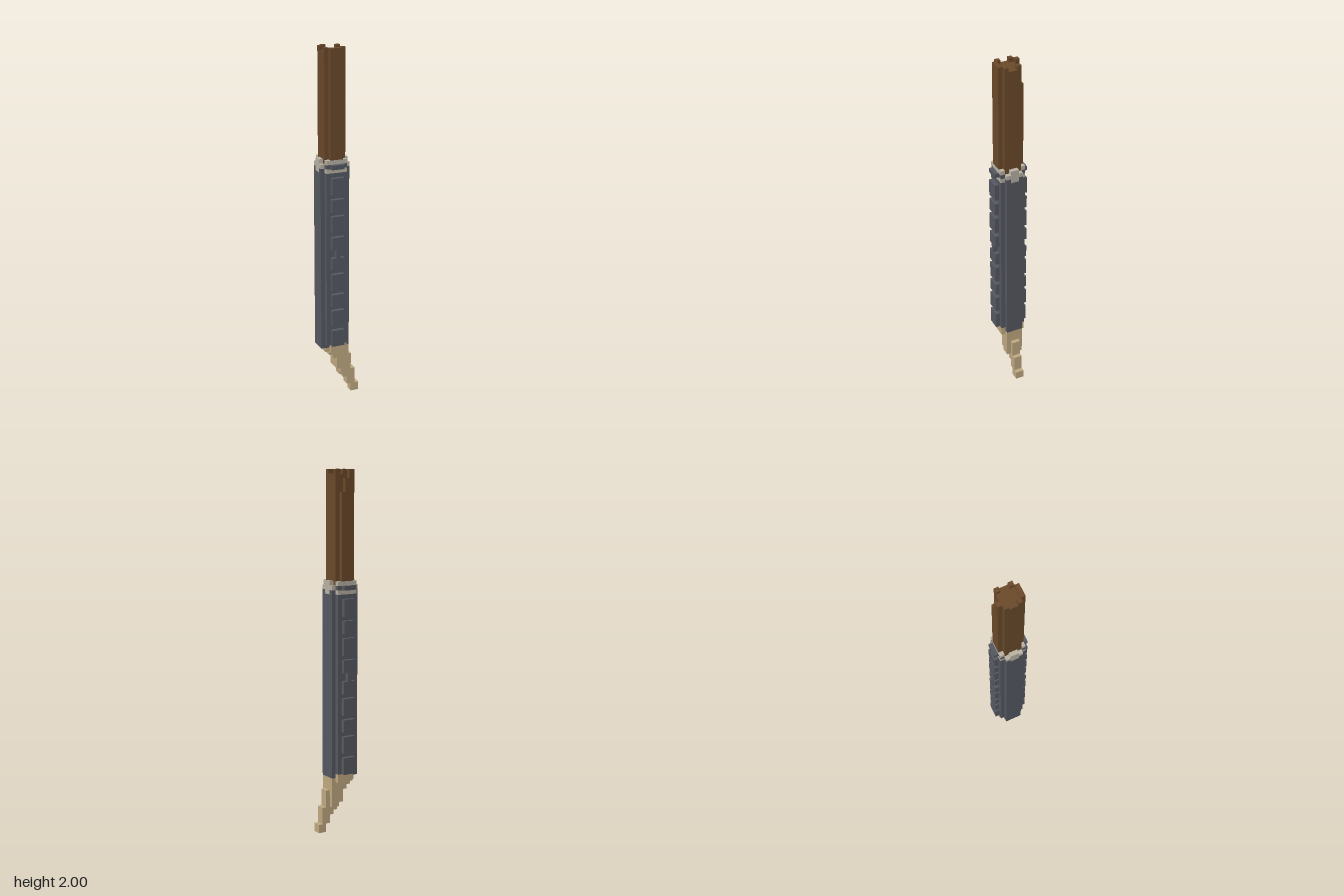
import * as THREE from 'three';

const U = 2 / 84; // one block of the grid

const mat = (name, color) => {
  const m = new THREE.MeshStandardMaterial({ color });
  m.name = name;
  return m;
};

export function createModel() {
  const model = new THREE.Group();
  const brown = mat('brown wood', 0x6b4a2b);
  const slate = mat('slate grey', 0x565962);
  const pale = mat('pale stone', 0xbab3a5);
  const tan = mat('tan bone', 0xc0aa82);

  const part = (name) => {
    const g = new THREE.Group();
    g.name = name;
    model.add(g);
    return g;
  };
  // Box between two grid corners
  const block = (group, name, material, x0, x1, y0, y1, z0, z1) => {
    const geo = new THREE.BoxGeometry((x1 - x0) * U, (y1 - y0) * U, (z1 - z0) * U);
    const mesh = new THREE.Mesh(geo, material);
    mesh.position.set((x0 + x1) / 2 * U, (y0 + y1) / 2 * U, (z0 + z1) / 2 * U);
    mesh.name = name;
    group.add(mesh);
  };
  // The same box on the front and the back
  const pair = (group, name, material, x0, x1, y0, y1, z0, z1) => {
    block(group, name, material, x0, x1, y0, y1, z0, z1);
    block(group, name, material, x0, x1, y0, y1, -z1, -z0);
  };

  // Wooden shaft with a cross-shaped section and a broken rim
  const shaft = part('shaft');
  block(shaft, 'shaftCore', brown, -4, 1, 56, 83, -2, 2);
  block(shaft, 'shaftFront', brown, -3, 0, 56, 84, 2, 3);
  [84, 82, 79].forEach((top, i) =>
    block(shaft, 'shaftBack', brown, i - 3, i - 2, 56, top, -3, -2));
  pair(shaft, 'rimTooth', brown, -4, -3, 83, 84, 1, 2);
  pair(shaft, 'rimTooth', brown, 0, 1, 83, 84, 1, 2);

  // Grey casing
  const casing = part('casing');
  block(casing, 'casingSides', slate, -5, 2, 13, 56, -2, 2);
  pair(casing, 'casingFace', slate, -4, 1, 14, 56, 2, 3);
  for (const x of [-5, 1]) pair(casing, 'casingTooth', slate, x, x + 1, 56, 57, 1, 2);

  // Raised studs down the front and back
  const studs = part('studs');
  const rows = [[51, 55], [47, 50], [42, 46], [38, 41], [33, 36], [28, 32], [24, 27], [19, 23], [14, 18]];
  for (const [y0, y1] of rows) pair(studs, 'stud', slate, -3, 0, y0, y1, 3, 4);
  pair(studs, 'studLink', slate, -2, -1, 36, 38, 3, 4);

  // Pale collar with a grey band
  const collar = part('collar');
  for (const x of [-5, 1]) {
    block(collar, 'collarSide', pale, x, x + 1, 56, 59, -1, 1);
    pair(collar, 'collarSideStep', pale, x, x + 1, 57, 58, 1, 2);
  }
  for (const x of [-4, 0]) {
    pair(collar, 'collarCornerLow', pale, x, x + 1, 56, 57, 2, 3);
    pair(collar, 'bandCorner', slate, x, x + 1, 57, 58, 2, 2.95);
    pair(collar, 'collarCornerTop', pale, x, x + 1, 58, 59, 2, 3);
  }
  pair(collar, 'band', slate, -3, 0, 57, 58, 3, 4);
  pair(collar, 'collarFace', pale, -3, 0, 56, 59, 2.5, 3.02);

  // Stepped hooked tip: bottom and top of each column
  const tip = part('tip');
  const columns = [[12, 13], [11, 13], [10, 13], [7, 13], [5, 13], [4, 13], [2, 10], [0, 6], [0, 2]];
  columns.forEach(([y0, y1], i) => {
    const x = i - 4;
    block(tip, 'tipColumn', tan, x, x + 1, y0, y1, -1, 1);
    const low = Math.max(y0, 6);
    if (x < 2) pair(tip, 'tipFlank', tan, x, x + 1, low, y1, 1, 2);
  });
  pair(tip, 'tipShoulder', tan, -3, 1, 12, 14, 2, 3);
  return model;
}
